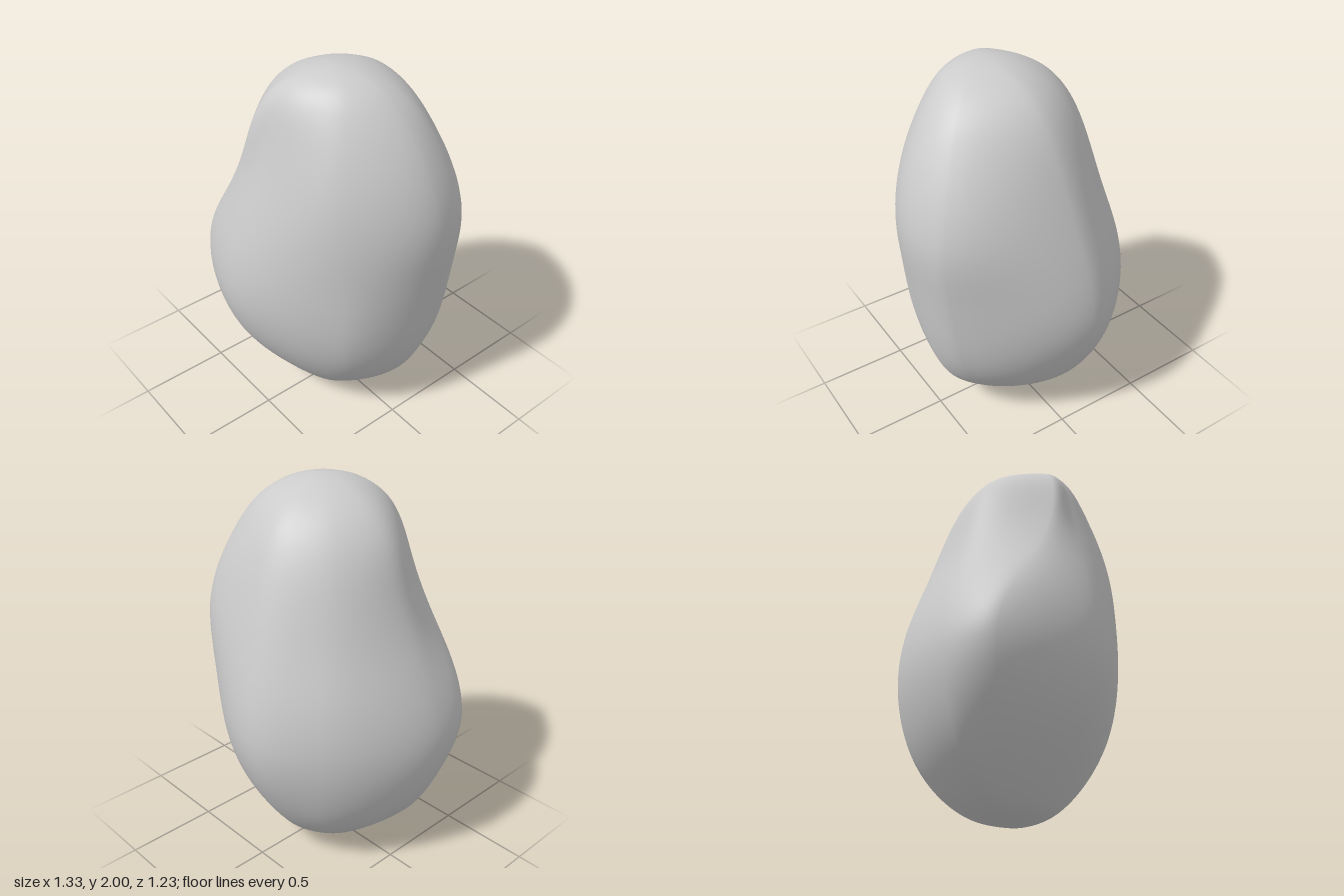
import * as THREE from 'three';

// Each level: height, then reach of the cross-section in eight directions,
// turning from +x through +z in steps of 45 degrees.
const LEVELS = [
  [0.034, 0.145, 0.155, 0.17, 0.20, 0.20, 0.18, 0.155, 0.14],
  [0.134, 0.335, 0.29, 0.285, 0.335, 0.37, 0.345, 0.315, 0.30],
  [0.293, 0.48, 0.415, 0.425, 0.49, 0.53, 0.475, 0.44, 0.445],
  [0.50, 0.56, 0.515, 0.55, 0.63, 0.63, 0.555, 0.55, 0.55],
  [0.741, 0.605, 0.56, 0.615, 0.715, 0.67, 0.59, 0.615, 0.595],
  [1.00, 0.64, 0.57, 0.60, 0.675, 0.61, 0.56, 0.595, 0.622],
  [1.259, 0.668, 0.57, 0.535, 0.55, 0.505, 0.475, 0.53, 0.642],
  [1.50, 0.625, 0.535, 0.46, 0.45, 0.425, 0.40, 0.455, 0.58],
  [1.707, 0.535, 0.465, 0.405, 0.385, 0.36, 0.32, 0.375, 0.475],
  [1.866, 0.42, 0.385, 0.355, 0.30, 0.245, 0.21, 0.27, 0.36],
  [1.966, 0.285, 0.29, 0.25, 0.16, 0.075, 0.055, 0.11, 0.20],
];
// Sideways slide of the outermost point in each direction, for the wide belly and the crown
const BELLY = [-0.23, -0.23, 0.22, 0.25, -0.15, 0.03, -0.15, 0.2];
const CROWN = [-0.23, -0.15, 0.2, -0.2, 0, 0.03, -0.1, 0.15];
const BOTTOM = [-0.04, 0, 0.03], TOP = [0.1, 2, 0.08];
const STEPS = 8, ARC = 12, SIDES = 8 * ARC;

// A level shrunk to a single point
const pole = ([x, y, z]) => [y, ...Array.from({ length: 8 }, (_, k) =>
  x * Math.cos(k * Math.PI / 4) + z * Math.sin(k * Math.PI / 4))];

// Mirror a level through a pole so the surface closes in a round cap
const mirrored = (level, p) => level.map((v, i) => (i === 0 ? v : 2 * p[i] - v));

// Closed outline that touches its reach in every direction, with arcs between
function outline(y, reach) {
  const cx = THREE.MathUtils.lerp(BOTTOM[0], TOP[0], y / 2);
  const cz = THREE.MathUtils.lerp(BOTTOM[2], TOP[2], y / 2);
  const blend = THREE.MathUtils.smoothstep(y, 0.7, 1.75);
  const touch = reach.map((h, k) => {
    const nx = Math.cos(k * Math.PI / 4), nz = Math.sin(k * Math.PI / 4);
    const out = h - cx * nx - cz * nz;
    const side = out * THREE.MathUtils.lerp(BELLY[k], CROWN[k], blend);
    return { x: cx + out * nx - side * nz, z: cz + out * nz + side * nx, tx: -nz, tz: nx };
  });
  const points = [];
  touch.forEach((p, k) => {
    const q = touch[(k + 1) % 8];
    const pull = 0.9 * Math.hypot(q.x - p.x, q.z - p.z);
    for (let i = 0; i < ARC; i++) {
      const t = i / ARC, s = 1 - t;
      const a = s * s * (1 + 2 * t), b = t * t * (1 + 2 * s);
      const c = pull * t * s * s, d = -pull * t * t * s;
      points.push([a * p.x + b * q.x + c * p.tx + d * q.tx,
        a * p.z + b * q.z + c * p.tz + d * q.tz]);
    }
  });
  return points;
}

// Smooth cubic B-spline between b and c
function spline(a, b, c, d, t) {
  const s = 1 - t;
  return (s ** 3 * a + (3 * t ** 3 - 6 * t * t + 4) * b
    + (3 * s ** 3 - 6 * s * s + 4) * c + t ** 3 * d) / 6;
}

// Spline controls, pushed outward so the curve runs through the levels
function controlRows() {
  const low = pole(BOTTOM), high = pole(TOP), n = LEVELS.length;
  const rows = [mirrored(LEVELS[1], low), mirrored(LEVELS[0], low), low, ...LEVELS,
    high, mirrored(LEVELS[n - 1], high), mirrored(LEVELS[n - 2], high)];
  return rows.slice(1, -1).map((row, r) =>
    row.map((v, i) => v - (rows[r][i] - 2 * v + rows[r + 2][i]) / 6));
}

function stoneGeometry() {
  const rows = controlRows();
  const rings = (rows.length - 3) * STEPS;
  const positions = [...BOTTOM], index = [];

  // Rings between the two poles
  for (let r = 1; r < rings; r++) {
    const s = Math.floor(r / STEPS), t = (r % STEPS) / STEPS;
    const [y, ...reach] = rows[s].map((v, i) =>
      spline(v, rows[s + 1][i], rows[s + 2][i], rows[s + 3][i], t));
    for (const [x, z] of outline(y, reach)) positions.push(x, y, z);
  }
  positions.push(...TOP);

  // Skin, with a fan at each pole
  const last = positions.length / 3 - 1;
  const at = (r, j) => (r === 0 ? 0 : r === rings ? last : 1 + (r - 1) * SIDES + j % SIDES);
  for (let r = 0; r < rings; r++) {
    for (let j = 0; j < SIDES; j++) {
      const a = at(r, j), b = at(r, j + 1), c = at(r + 1, j), d = at(r + 1, j + 1);
      if (r > 0) index.push(a, c, b);
      if (r < rings - 1) index.push(b, c, d);
    }
  }

  const geometry = new THREE.BufferGeometry();
  geometry.setAttribute('position', new THREE.Float32BufferAttribute(positions, 3));
  geometry.setIndex(index);
  geometry.computeVertexNormals();
  return geometry;
}

export function createModel() {
  const model = new THREE.Group();
  model.name = 'stone';
  const stone = new THREE.Mesh(stoneGeometry(), new THREE.MeshStandardMaterial({ color: 0xcccccc }));
  stone.name = 'stoneBody';
  model.add(stone);
  return model;
}
